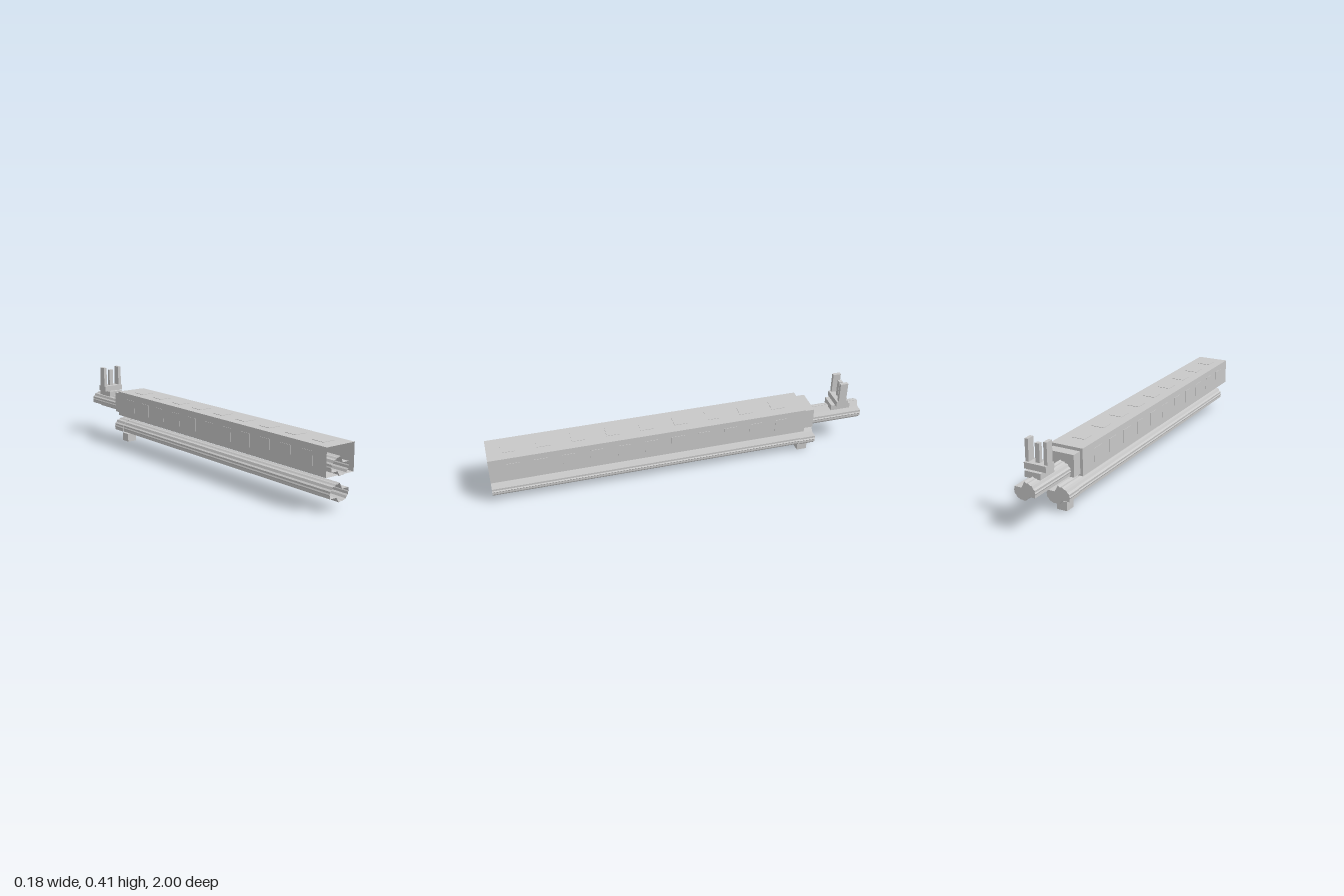
import * as THREE from 'three';

export function createModel() {
  const model = new THREE.Group();
  const grey = new THREE.MeshStandardMaterial({ color: 0xc8c8c8, side: THREE.DoubleSide });
  grey.name = 'light grey';

  const add = (name, geometry) => {
    const mesh = new THREE.Mesh(geometry, grey);
    mesh.name = name;
    model.add(mesh);
    return mesh;
  };

  // Box given by its limits on each axis
  const block = (name, x0, x1, y0, y1, z0, z1) => {
    const mesh = add(name, new THREE.BoxGeometry(x1 - x0, y1 - y0, z1 - z0));
    mesh.position.set((x0 + x1) / 2, (y0 + y1) / 2, (z0 + z1) / 2);
  };

  // Thin shell along z: closed at the back, open at the front
  const shell = (name, points, z0, z1) => {
    const shape = new THREE.Shape(points.map(([x, y]) => new THREE.Vector2(x, y)));
    const geometry = new THREE.ExtrudeGeometry(shape, { depth: z1 - z0, bevelEnabled: false });
    const caps = geometry.groups[0].count;
    const corners = [...Array(geometry.attributes.position.count).keys()];
    geometry.setIndex(corners.filter((i) => i < caps / 2 || i >= caps));
    geometry.clearGroups();
    add(name, geometry).position.z = z0;
  };

  // Fluted rod section with a notch at upper right and lower left
  const section = [
    [0, 0.047], [-0.012, 0.041], [-0.023, 0.042], [-0.031, 0.035], [-0.046, 0.032],
    [-0.052, 0.02], [-0.062, 0.014], [-0.061, 0.004], [-0.065, -0.002], [-0.062, -0.008],
    [-0.062, -0.022], [-0.018, -0.022], [-0.006, -0.041],
    [0, -0.047], [0.012, -0.043], [0.025, -0.044], [0.031, -0.041], [0.046, -0.036],
    [0.052, -0.025], [0.061, -0.019], [0.061, -0.007], [0.065, -0.002], [0.061, 0.004],
    [0.061, 0.015], [0.018, 0.015],
  ];
  const rod = (name, y, sx, sy, z0, z1) =>
    shell(name, section.map(([px, py]) => [px * sx, y + py * sy]), z0, z1);

  // Long hollow housing and the collar behind it
  const W = 0.087, Y0 = 0.169, Y1 = 0.306;
  shell('housing', [[-W, Y0], [W, Y0], [W, Y1], [-W, Y1]], -0.663, 1);
  block('rearCollar', -0.073, 0.073, 0.18, 0.291, -0.717, -0.664);

  // Rows of thin raised panels on the top and both sides
  for (let i = 0; i < 9; i++) {
    const z = 0.893 - i * 0.1775;
    block('topPanel', -0.035, 0.035, Y1, Y1 + 0.002, z - 0.035, z + 0.035);
  }
  for (let i = 0; i < 11; i++) {
    const z = 0.88 - i * 0.141;
    block('leftPanel', W, W + 0.002, 0.205, 0.273, z - 0.035, z + 0.035);
    block('rightPanel', -W - 0.002, -W, 0.205, 0.273, z - 0.035, z + 0.035);
  }

  // Upper rod through the housing, lower rod below it
  rod('upperRod', 0.209, 0.87, 0.98, -1, 1);
  rod('lowerRod', 0.088, 0.94, 0.97, -0.66, 1);
  rod('lowerRodEnd', 0.088, 1, 1.02, -0.745, -0.66);
  block('lowerLug', -0.028, 0.027, 0, 0.046, -0.715, -0.66);

  // Stepped mount and three upright posts
  block('postMountBase', -0.042, 0.042, 0.245, 0.275, -0.937, -0.83);
  block('postMountTop', -0.058, 0.058, 0.275, 0.305, -0.918, -0.852);
  for (const s of [-1, 1]) {
    block('sidePost', s * 0.049 - 0.009, s * 0.049 + 0.009, 0.3, 0.413, -0.905, -0.863);
  }
  block('centrePost', -0.012, 0.011, 0.3, 0.397, -0.896, -0.876);

  return model;
}
